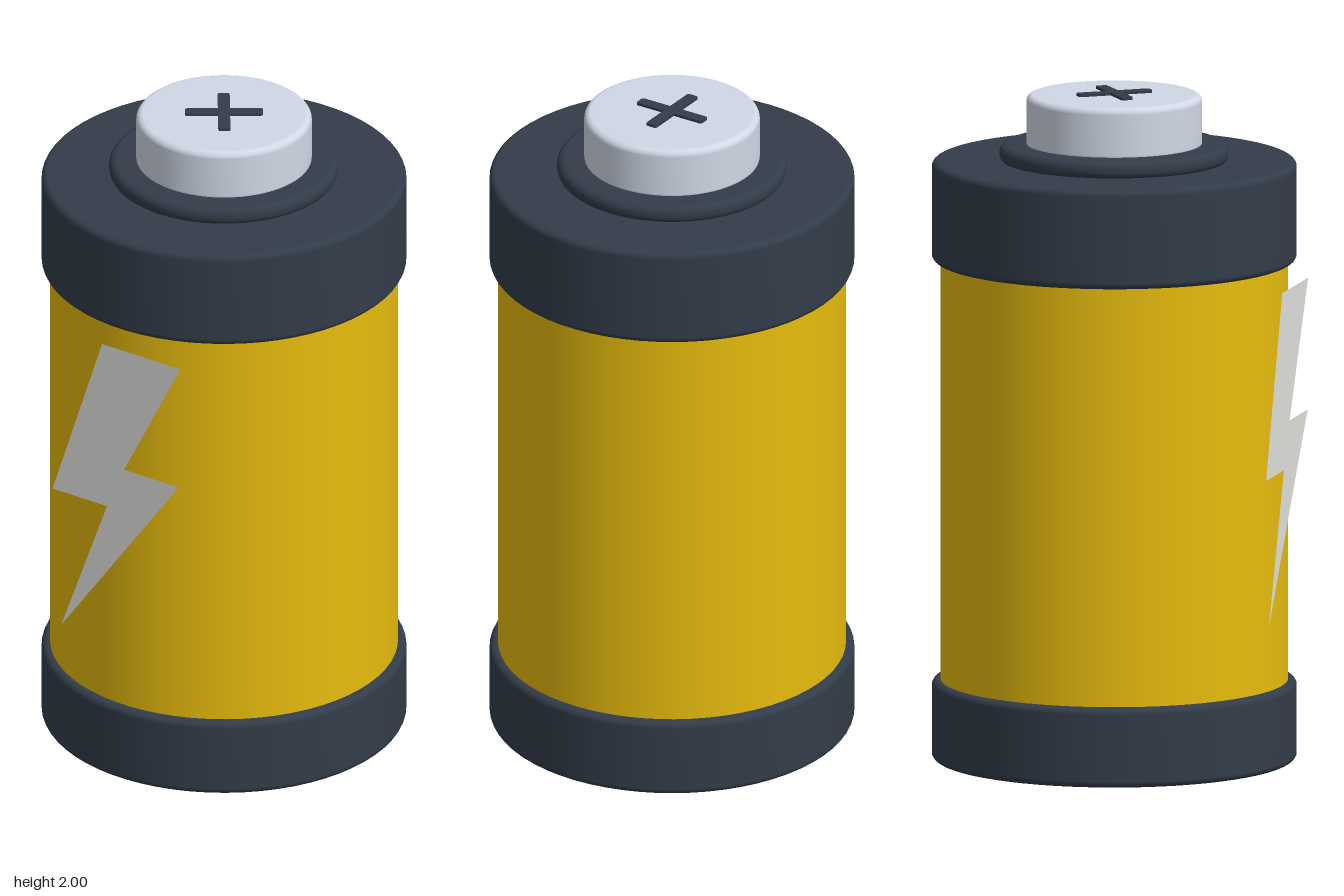
import * as THREE from 'three';

const material = (name, color, extra = {}) => {
  const m = new THREE.MeshStandardMaterial({ color, ...extra });
  m.name = name;
  return m;
};

// Solid disc from y0 to y1 with rounded rims
function roundedDisc(name, radius, y0, y1, bevel, mat) {
  const pts = [new THREE.Vector2(0, y0)];
  const steps = 6;
  for (const [cy, start] of [[y0 + bevel, -Math.PI / 2], [y1 - bevel, 0]]) {
    for (let i = 0; i <= steps; i++) {
      const a = start + (i / steps) * Math.PI / 2;
      pts.push(new THREE.Vector2(radius - bevel + bevel * Math.cos(a), cy + bevel * Math.sin(a)));
    }
  }
  pts.push(new THREE.Vector2(0, y1));
  const mesh = new THREE.Mesh(new THREE.LatheGeometry(pts, 64), mat);
  mesh.name = name;
  return mesh;
}

// Plus outline with slightly rounded arm ends
function plusShape(reach, half, r) {
  const s = new THREE.Shape();
  for (let i = 0; i < 4; i++) {
    const c = Math.cos(i * Math.PI / 2), n = Math.sin(i * Math.PI / 2);
    const p = (x, y) => [x * c - y * n, x * n + y * c];
    if (i === 0) s.moveTo(...p(half, -half));
    else s.lineTo(...p(half, -half));
    s.lineTo(...p(reach - r, -half));
    s.quadraticCurveTo(...p(reach, -half), ...p(reach, -half + r));
    s.lineTo(...p(reach, half - r));
    s.quadraticCurveTo(...p(reach, half), ...p(reach - r, half));
  }
  s.closePath();
  return s;
}

export function createModel() {
  const yellow = material('yellow casing', 0xf1c40f);
  const dark = material('dark slate', 0x323c49);
  const metal = material('pale metal', 0xd0d8e6);
  const white = material('bolt white', 0xe2e2de, { side: THREE.DoubleSide });

  const model = new THREE.Group();
  model.name = 'battery';
  const cell = new THREE.Group();
  cell.name = 'cell';
  cell.position.z = -0.015;
  model.add(cell);

  // Casing, end caps and terminal
  const body = new THREE.Mesh(new THREE.CylinderGeometry(0.515, 0.515, 1.3, 64, 1, true), yellow);
  body.name = 'casing';
  body.position.y = 0.87;
  cell.add(
    body,
    roundedDisc('bottomCap', 0.54, 0, 0.24, 0.02, dark),
    roundedDisc('topCap', 0.54, 1.495, 1.795, 0.02, dark),
    roundedDisc('terminalCollar', 0.34, 1.79, 1.845, 0.024, dark),
    roundedDisc('terminal', 0.26, 1.83, 1.992, 0.02, metal),
  );

  // Plus mark on the terminal
  const plusGeometry = new THREE.ExtrudeGeometry(plusShape(0.115, 0.018, 0.008), {
    depth: 0.009, bevelEnabled: false, curveSegments: 4,
  });
  const plus = new THREE.Mesh(plusGeometry.rotateX(-Math.PI / 2), dark);
  plus.name = 'plusMark';
  plus.position.y = 1.991;
  cell.add(plus);

  // Flat lightning bolt standing tangent to the casing
  const angle = -0.626;
  const outline = [
    [-0.064, 1.43], [0.22, 1.43], [0.016, 1.035], [0.214, 1.035],
    [-0.212, 0.45], [-0.046, 0.895], [-0.243, 0.895],
  ].map(([x, y]) => new THREE.Vector2(x, y));
  const bolt = new THREE.Mesh(new THREE.ShapeGeometry(new THREE.Shape(outline)), white);
  bolt.name = 'lightningBolt';
  bolt.rotation.y = angle;
  bolt.position.set(0.534 * Math.sin(angle), 0, 0.534 * Math.cos(angle));
  cell.add(bolt);

  return model;
}
